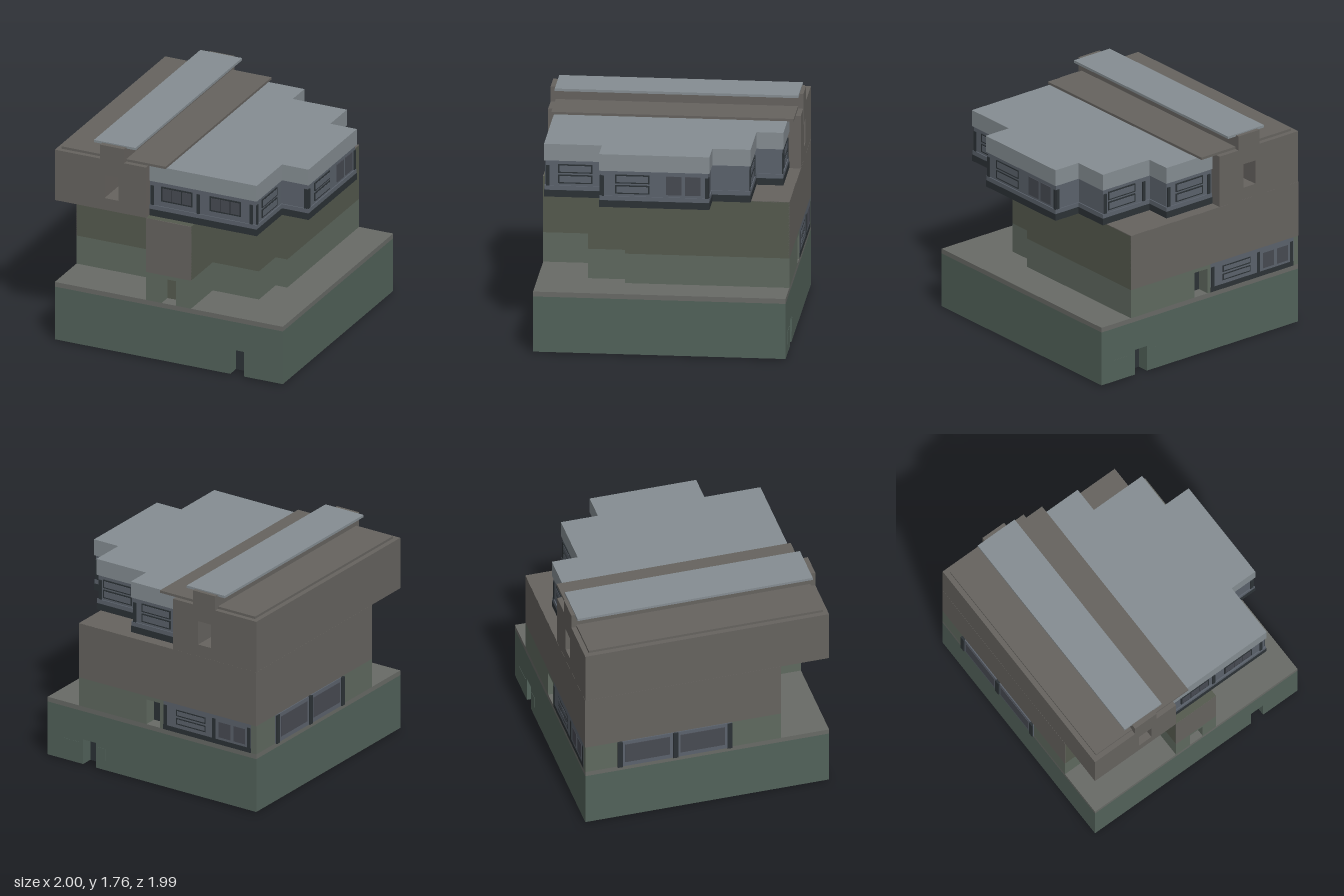
import * as THREE from 'three';

const mat = (color) => new THREE.MeshStandardMaterial({ color, roughness: 0.9, side: THREE.DoubleSide });

export function createModel() {
  const root = new THREE.Group();
  const teal = mat(0x52625a), lip = mat(0x686a66), moss = mat(0x555a4e), mossLight = mat(0x5f695f);
  const brown = mat(0x66635f), slate = mat(0x858d92), frame = mat(0x5b626c), dark = mat(0x2c3236);
  const glass = mat(0x474a52), black = mat(0x1c2022);

  const add = (name, geo, material) => {
    const m = new THREE.Mesh(geo, material);
    m.name = name;
    root.add(m);
  };
  const box = (name, x0, x1, y0, y1, z0, z1, material) =>
    add(name, new THREE.BoxGeometry(x1 - x0, y1 - y0, z1 - z0)
      .translate((x0 + x1) / 2, (y0 + y1) / 2, (z0 + z1) / 2), material);
  const rect = (x0, x1, z0, z1) => [[x0, z0], [x0, z1], [x1, z1], [x1, z0]];

  // Vertical prism over a ground plan given as [x, z] corners
  const prism = (name, plan, y0, y1, material, holes = []) => {
    const points = (p) => p.map(([x, z]) => new THREE.Vector2(x, -z));
    const shape = new THREE.Shape(points(plan));
    shape.holes = holes.map((h) => new THREE.Path(points(h)));
    const geo = new THREE.ExtrudeGeometry(shape, { depth: y1 - y0, bevelEnabled: false });
    add(name, geo.rotateX(-Math.PI / 2).translate(0, y0, 0), material);
  };

  // Ground storey: hollow, open below, with a doorway at front and back
  prism('groundWallUpper', rect(-0.98, 0.995, -0.99, 0.99), 0.22, 0.46, teal, [rect(-0.97, 0.985, -0.98, 0.98)]);
  prism('groundWallLeft', [[0.54, 0.99], [-0.98, 0.99], [-0.98, -0.99], [0.54, -0.99],
    [0.54, -0.98], [-0.97, -0.98], [-0.97, 0.98], [0.54, 0.98]], 0.01, 0.22, teal);
  prism('groundWallRight', [[0.66, 0.99], [0.995, 0.99], [0.995, -0.99], [0.66, -0.99],
    [0.66, -0.98], [0.985, -0.98], [0.985, 0.98], [0.66, 0.98]], 0.01, 0.22, teal);
  box('groundLip', -0.98, 0.995, 0.46, 0.5, -0.99, 0.99, lip);
  for (const s of [-1, 1]) {
    const z0 = s > 0 ? 0.88 : -0.98, z1 = z0 + 0.1;
    box('doorJamb', 0.53, 0.54, 0.01, 0.22, z0, z1, teal);
    box('doorJamb', 0.66, 0.67, 0.01, 0.22, z0, z1, teal);
    box('doorHead', 0.53, 0.67, 0.22, 0.23, z0, z1, teal);
    box('door', 0.54, 0.66, 0.01, 0.22, s * 0.88 - 0.01, s * 0.88 + 0.01, dark);
  }
  for (const [x0, x1] of [[0.69, 0.87], [0.45, 0.52]])
    box('backDoorPanel', x0, x1, 0.09, 0.19, -0.992, -0.985, teal);

  // Interior corridors around open wall blocks
  const pockets = [
    rect(0.46, 0.7, -0.1, 0.62), rect(-0.12, 0.28, -0.02, 0.13), rect(-0.12, 0.28, 0.28, 0.64),
    rect(-0.74, -0.48, 0.2, 0.38), rect(-0.74, -0.48, 0.48, 0.74), rect(-0.38, -0.22, 0.0, 0.74),
    rect(-0.72, -0.44, -0.1, 0.1),
  ];
  for (let i = 0; i < 5; i++) {
    const x = 0.44 - i * 0.19;
    pockets.push(rect(x, x + 0.12, -0.84, -0.6), rect(x, x + 0.12, -0.42, -0.2));
  }
  prism('interiorCorridors', [[-0.45, -0.88], [-0.45, -0.2], [-0.82, -0.2], [-0.82, 0.9], [0.9, 0.88], [0.9, -0.88]],
    0.01, 0.22, black, pockets);
  for (const x of [0.1, 0.4]) box('floorDrain', x - 0.04, x + 0.04, 0, 0.01, 0.15, 0.25, black);

  // Middle storey: stepped plan with a projecting stair tower
  const right = [[0.2, 0.99], [0.2, 0.6], [0.6, 0.6], [0.6, 0.3], [0.7, 0.3], [0.7, -0.99]];
  const left = [[-0.98, -0.99], [-0.98, 0.6], [-0.19, 0.6], [-0.19, 0.99]];
  prism('middleStoreyLower', [
    ...left, [-0.055, 0.99], [-0.055, 0.88], [0.07, 0.88], [0.07, 0.99],
    ...right, [0.06, -0.99], [0.06, -0.88], [-0.07, -0.88], [-0.07, -0.99],
  ], 0.5, 0.71, mossLight);
  prism('middleStoreyLintel', [...left, ...right], 0.71, 0.74, mossLight);
  prism('middleStoreyUpper', [...left, ...right], 0.74, 1.2, moss);
  box('towerFace', -0.19, 0.2, 0.74, 1.2, 0.985, 0.991, brown);
  box('backFace', -0.98, 0.7, 0.74, 1.2, -0.991, -0.985, brown);
  box('sideFace', -0.981, -0.975, 0.74, 1.2, -0.99, 0.6, brown);
  box('middleStoreyRoof', -0.19, 0.7, 1.195, 1.201, -0.99, 0.3, brown);
  box('towerDoor', -0.055, 0.07, 0.5, 0.71, 0.87, 0.885, moss);
  box('rearDoor', -0.07, 0.06, 0.5, 0.71, -0.885, -0.87, dark);

  // Window strip on the left side
  box('sideWindowStrip', -0.99, -0.975, 0.5, 0.74, -0.73, 0.2, frame);
  for (const z of [-0.71, -0.26, 0.18]) box('sideWindowPost', -1, -0.98, 0.5, 0.74, z - 0.02, z + 0.02, dark);
  for (const z of [-0.485, -0.04]) box('sideWindowPane', -0.995, -0.98, 0.54, 0.71, z - 0.18, z + 0.18, glass);

  // Window strip on the back
  box('backWindowStrip', -0.93, -0.1, 0.5, 0.74, -0.991, -0.985, frame);
  box('backWindowSill', -0.93, -0.1, 0.5, 0.54, -0.993, -0.985, dark);
  for (const x of [-0.12, -0.58, -0.91]) box('backWindowPost', x - 0.015, x + 0.015, 0.54, 0.71, -0.994, -0.985, dark);
  for (const y of [0.57, 0.64]) {
    box('backSlotFrame', -0.5, -0.22, y, y + 0.055, -0.993, -0.985, dark);
    box('backSlot', -0.49, -0.23, y + 0.01, y + 0.045, -0.994, -0.985, frame);
  }
  for (const x of [-0.68, -0.82]) box('backWindowPane', x - 0.055, x + 0.055, 0.56, 0.69, -0.993, -0.985, glass);

  // Upper left block, pierced from front to back by a passage
  box('hallFloor', -0.98, -0.19, 1.2, 1.3, -0.99, 0.99, brown);
  box('hallLeft', -0.98, -0.55, 1.3, 1.5, -0.99, 0.99, brown);
  box('hallRight', -0.43, -0.19, 1.3, 1.5, -0.99, 0.99, brown);
  box('hallTop', -0.98, -0.19, 1.5, 1.63, -0.99, 0.99, brown);
  box('roofPlate', -0.94, -0.04, 1.63, 1.65, -0.95, 0.95, brown);
  box('ridgeDuct', -0.59, -0.38, 1.5, 1.75, -0.991, 0.991, brown);
  box('ridgeCap', -0.66, -0.3, 1.74, 1.76, -0.96, 0.95, slate);

  // Upper right gallery: sill, glazed band and fascia share one stepped plan
  const gallery = (i) => [
    [-0.19, -0.9 + i], [-0.19, 0.93 - i], [0.74 - i, 0.93 - i], [0.74 - i, 0.475 - i], [0.97 - i, 0.475 - i],
    [0.97 - i, -0.39 + i], [0.74 - i, -0.39 + i], [0.74 - i, -0.69 + i], [0.27 - i, -0.69 + i], [0.27 - i, -0.9 + i],
  ];
  prism('gallerySill', gallery(0), 1.2, 1.255, dark);
  prism('galleryBand', gallery(0.012), 1.255, 1.495, frame);
  prism('galleryLedge', gallery(0.003), 1.255, 1.29, frame);
  prism('galleryRoof', gallery(0), 1.495, 1.63, slate);

  // Gallery windows; s is the outward sign of the wall
  const zWall = (name, x0, x1, y0, y1, z, s, m) => box(name, x0, x1, y0, y1, z - 0.008 - s * 0.012, z + 0.008 - s * 0.012, m);
  const xWall = (name, z0, z1, y0, y1, x, m) => box(name, x - 0.02, x - 0.004, y0, y1, z0, z1, m);
  for (const [x, z, s] of [[-0.17, 0.93, 1], [0.23, 0.93, 1], [0.69, 0.93, 1], [0.94, 0.475, 1],
    [-0.16, -0.9, -1], [0.24, -0.9, -1], [0.32, -0.69, -1], [0.71, -0.69, -1], [0.94, -0.39, -1]])
    zWall('galleryPost', x - 0.014, x + 0.014, 1.29, 1.455, z, s, dark);
  for (const [z, x] of [[0.9, 0.74], [0.45, 0.97], [-0.37, 0.97]])
    xWall('galleryPost', z - 0.014, z + 0.014, 1.29, 1.455, x, dark);
  for (const x of [-0.09, 0.33]) {
    zWall('frontWindowFrame', x, x + 0.27, 1.335, 1.46, 0.93, 1, dark);
    for (let i = 0; i < 3; i++)
      zWall('frontWindowPane', x + 0.012 + i * 0.084, x + 0.09 + i * 0.084, 1.347, 1.448, 0.932, 1, glass);
  }
  for (const y of [1.31, 1.395]) {
    for (const [z, x] of [[0.55, 0.74], [0.08, 0.97]]) {
      xWall('sideSlotFrame', z, z + 0.27, y, y + 0.07, x, dark);
      xWall('sideSlot', z + 0.01, z + 0.26, y + 0.01, y + 0.06, x + 0.002, frame);
    }
    for (const [x, z] of [[-0.1, -0.9], [0.41, -0.69]]) {
      zWall('backSlotFrame', x, x + 0.27, y, y + 0.07, z, -1, dark);
      zWall('backSlot', x + 0.01, x + 0.26, y + 0.01, y + 0.06, z - 0.002, -1, frame);
    }
  }
  for (const z of [-0.17, -0.32]) xWall('sideWindowPane', z, z + 0.12, 1.31, 1.46, 0.97, glass);

  return root;
}
